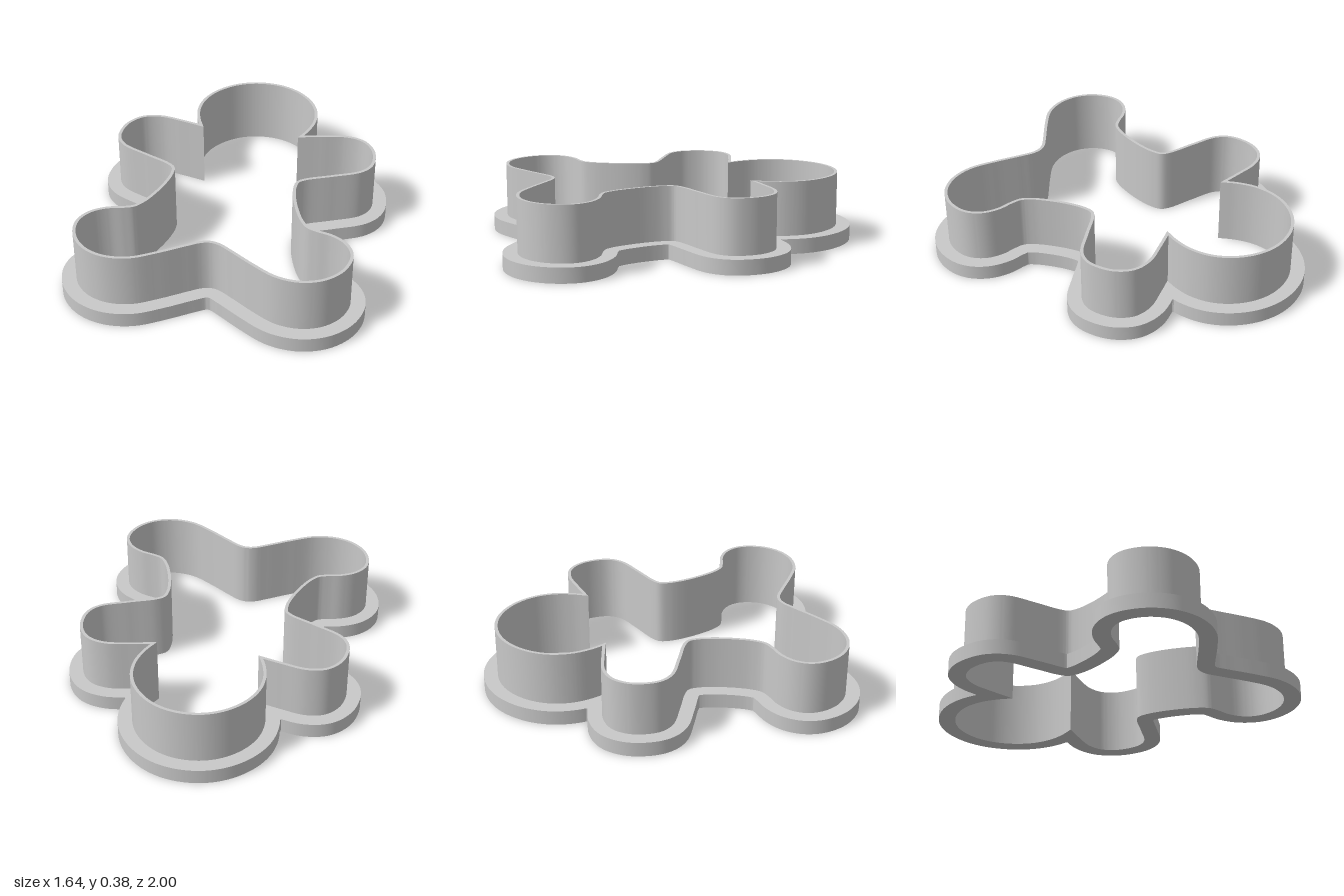
import * as THREE from 'three';
import { toCreasedNormals } from 'three/addons/utils/BufferGeometryUtils.js';

// Inner outline of the cutter, right half, as (x, z) points
const HEAD = [[0.278, -0.36], [0.317, -0.45], [0.338, -0.55], [0.327, -0.66],
  [0.28, -0.758], [0.2, -0.84], [0.105, -0.889], [0, -0.905]];
const BODY = [[0.278, -0.36], [0.41, -0.391], [0.55, -0.415], [0.645, -0.39], [0.705, -0.318],
  [0.725, -0.225], [0.715, -0.155], [0.67, -0.096], [0.525, -0.026], [0.385, 0.036], [0.344, 0.072],
  [0.335, 0.13], [0.347, 0.22], [0.38, 0.33], [0.42, 0.42], [0.463, 0.475], [0.52, 0.499],
  [0.6, 0.521], [0.67, 0.566], [0.71, 0.63], [0.716, 0.7], [0.685, 0.79], [0.62, 0.86],
  [0.54, 0.897], [0.46, 0.905], [0.37, 0.887], [0.25, 0.82], [0.12, 0.735], [0.05, 0.693], [0, 0.682]];

// Mirror a half outline and sample a smooth curve through it
function smoothMirrored(half, samples) {
  const left = half.slice(0, -1).reverse().map(([x, z]) => [-x, z]);
  const points = [...half, ...left].map(([x, z]) => new THREE.Vector3(x, 0, z));
  const curve = new THREE.CatmullRomCurve3(points);
  curve.arcLengthDivisions = 2000;
  return curve.getSpacedPoints(samples).map((p) => new THREE.Vector2(p.x, p.z));
}

// Move the loop outwards by d and drop the points that fold over at inner corners
function offsetLoop(loop, d) {
  const mids = loop.map((p, i) => p.clone().lerp(loop[(i + 1) % loop.length], 0.5));
  return loop.map((p, i) => {
    const t = loop[(i + 1) % loop.length].clone().sub(p).normalize();
    return new THREE.Vector2(mids[i].x + t.y * d, mids[i].y - t.x * d);
  }).filter((q) => mids.every((m) => m.distanceTo(q) > d - 1e-4));
}

// Upright ring between two loops; the hole runs the other way so its wall faces inwards
function ring(name, outer, inner, height, material) {
  const flip = (loop) => loop.map((p) => new THREE.Vector2(p.x, -p.y));
  const shape = new THREE.Shape(flip(outer));
  shape.holes.push(new THREE.Path(flip(inner).reverse()));
  const geometry = new THREE.ExtrudeGeometry(shape, { depth: height, bevelEnabled: false });
  geometry.rotateX(-Math.PI / 2);
  const mesh = new THREE.Mesh(toCreasedNormals(geometry, 0.6), material);
  mesh.name = name;
  return mesh;
}

export function createModel() {
  const grey = new THREE.MeshStandardMaterial({ color: 0xc8c8c8 });
  grey.name = 'grey plastic';

  // One closed loop: the body down and round, then back over the head
  const body = smoothMirrored(BODY, 600);
  const head = smoothMirrored(HEAD, 220).reverse();
  const inner = [...body.slice(0, -1), ...head.slice(0, -1)];
  const wallOuter = offsetLoop(inner, 0.017);
  const flangeOuter = offsetLoop(inner, 0.095);

  const group = new THREE.Group();
  group.name = 'cookieCutter';
  group.add(ring('cuttingWall', wallOuter, inner, 0.385, grey));
  group.add(ring('baseFlange', flangeOuter, wallOuter, 0.083, grey));
  return group;
}
